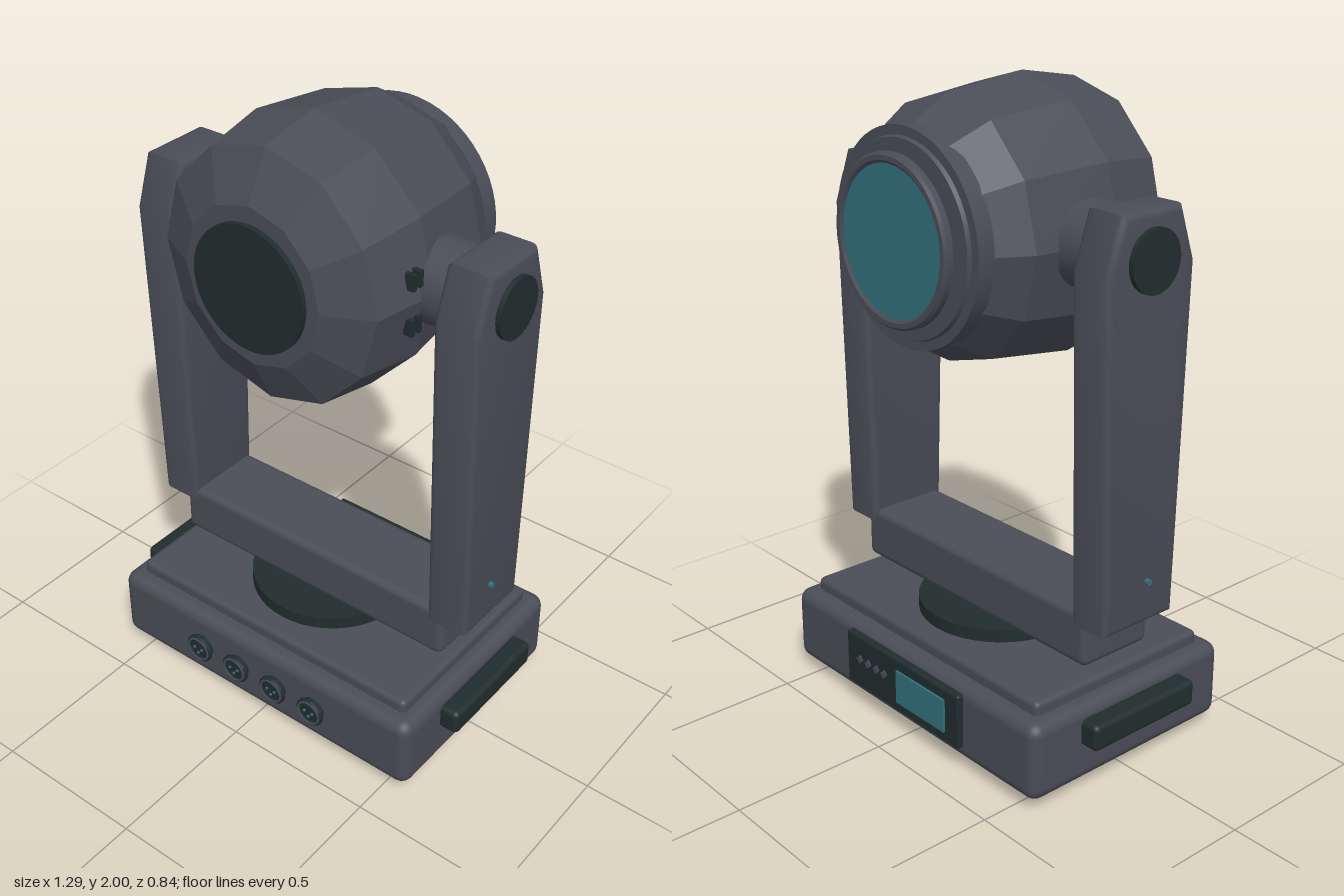
import * as THREE from 'three';
import { RoundedBoxGeometry } from 'three/addons/geometries/RoundedBoxGeometry.js';
import { toCreasedNormals } from 'three/addons/utils/BufferGeometryUtils.js';

const mat = (name, color) => {
  const m = new THREE.MeshStandardMaterial({ color });
  m.name = name;
  return m;
};

export function createModel() {
  const root = new THREE.Group();
  root.name = 'movingHeadLight';
  const grey = mat('slateGrey', 0x4a4c57);
  const dark = mat('blackGreen', 0x212d2d);
  const teal = mat('teal', 0x32707d);

  const add = (name, geo, material, x = 0, y = 0, z = 0, parent = root) => {
    const mesh = new THREE.Mesh(geo, material);
    mesh.name = name;
    mesh.position.set(x, y, z);
    parent.add(mesh);
    return mesh;
  };
  const box = (w, h, d, r = 0.02) => new RoundedBoxGeometry(w, h, d, 3, r);
  const cylY = (r, h, n = 40) => new THREE.CylinderGeometry(r, r, h, n);
  const cylX = (r, h, n = 40) => cylY(r, h, n).rotateZ(Math.PI / 2);
  const cylZ = (r, h, n = 40) => cylY(r, h, n).rotateX(Math.PI / 2);
  // Turned shape along z, from [radius, z] pairs with rising z
  const turnZ = (pts, n) => new THREE.LatheGeometry(
    pts.map(p => new THREE.Vector2(p[0], p[1])), n).rotateX(Math.PI / 2);

  // Base with raised top plate, feet and turntable
  add('base', box(1.17, 0.25, 0.78, 0.04), grey, 0, 0.16, 0);
  add('basePlate', box(1.07, 0.08, 0.67, 0.018), grey, 0, 0.285, 0);
  add('turntable', cylY(0.262, 0.05, 48), dark, 0, 0.342, 0);
  for (const sx of [-1, 1]) {
    for (const sz of [-1, 1]) add('foot', cylY(0.055, 0.05, 24), dark, sx * 0.445, 0.025, sz * 0.27);
    add('handle', box(0.1, 0.085, 0.415, 0.018), dark, sx * 0.596, 0.203, 0.003);
  }

  // Row of sockets on the front
  for (const x of [-0.23, -0.077, 0.077, 0.23]) {
    const socket = new THREE.Group();
    socket.name = 'socket';
    socket.position.set(x, 0.162, 0.39);
    root.add(socket);
    const rim = turnZ([[0.042, -0.01], [0.042, 0.008], [0.05, 0.013], [0.05, 0.021],
      [0.046, 0.025], [0.035, 0.025], [0.035, 0.016], [0, 0.016]], 28);
    add('socketRim', toCreasedNormals(rim, 0.5), dark, 0, 0, 0, socket);
    add('socketRing', new THREE.TorusGeometry(0.04, 0.004, 6, 28), grey, 0, 0, 0.025, socket);
    add('socketCore', cylZ(0.029, 0.01, 24), dark, 0, 0, 0.019, socket);
    for (const [px, py] of [[-0.015, 0.004], [0.015, 0.004], [0, -0.014]])
      add('socketPin', cylZ(0.005, 0.006, 10), teal, px, py, 0.025, socket);
  }

  // Control panel on the back
  add('controlPanel', box(0.55, 0.18, 0.03, 0.008), dark, 0, 0.172, -0.395);
  add('display', new THREE.BoxGeometry(0.23, 0.11, 0.008), teal, -0.1, 0.172, -0.413);
  for (const x of [0.08, 0.12, 0.162, 0.204])
    add('button', cylZ(0.014, 0.008, 4), grey, x, 0.185, -0.413);

  // Yoke: crossbar and two mirrored arms
  add('yokeCrossbar', box(1.04, 0.175, 0.265, 0.025), grey, 0, 0.443, -0.003);
  const side = new THREE.Shape([[0.135, 0.49], [0.17, 1.55], [0.115, 1.712], [-0.11, 1.712],
    [-0.163, 1.55], [-0.142, 0.49]].reverse().map(p => new THREE.Vector2(p[0], p[1])));
  const bevel = 0.022;
  const armGeo = toCreasedNormals(new THREE.ExtrudeGeometry(side, {
    depth: 0.145 - 2 * bevel, bevelEnabled: true, bevelSize: bevel,
    bevelThickness: bevel, bevelOffset: -bevel, bevelSegments: 3,
  }).translate(0, 0, -0.0725 + bevel).rotateY(-Math.PI / 2), 0.6);
  const axis = 1.575;
  for (const s of [-1, 1]) {
    add('yokeArm', armGeo, grey, s * 0.538, 0, 0);
    add('pivotCap', cylX(0.092, 0.03), dark, s * 0.611, axis, 0);
    add('tiltPivot', cylX(0.127, 0.16), grey, s * 0.405, axis, 0);
    add('armLight', cylX(0.01, 0.02, 12), teal, s * 0.613, 0.625, 0.02);
  }

  // Faceted twelve-sided head
  const head = new THREE.Group();
  head.name = 'head';
  head.position.y = axis;
  root.add(head);
  const shell = turnZ([[0, -0.35], [0.29, -0.35], [0.32, -0.32], [0.39, -0.2], [0.425, 0.08],
    [0.39, 0.285], [0.245, 0.355], [0, 0.355]], 12).scale(0.96, 1, 1).toNonIndexed();
  shell.computeVertexNormals();
  add('headShell', shell, grey, 0, 0, 0, head);
  add('frontDisc', cylZ(0.192, 0.03, 48), dark, 0, 0, 0.357, head);

  // Vent slots on the cheeks of the head
  for (const s of [-1, 1]) for (const y of [-0.07, 0.07]) for (const z of [0.132, 0.162])
    add('ventSlot', new THREE.BoxGeometry(0.03, 0.05, 0.014), dark, s * 0.388, y, z, head);

  // Rear collar, bezel and lens
  add('lensCollar', toCreasedNormals(turnZ([[0, -0.368], [0.285, -0.368], [0.29, -0.356],
    [0.318, -0.356], [0.318, -0.3], [0.28, -0.3]], 56), 0.5), grey, 0, 0, 0, head);
  add('lensBezel', toCreasedNormals(turnZ([[0.22, -0.38], [0.22, -0.408], [0.228, -0.414],
    [0.242, -0.414], [0.25, -0.406], [0.25, -0.386], [0.244, -0.38], [0.22, -0.38]].reverse()
    .reverse(), 56), 0.5), grey, 0, 0, 0, head).material.side = THREE.DoubleSide;
  add('lens', cylZ(0.224, 0.02, 56), teal, 0, 0, -0.396, head);

  return root;
}
